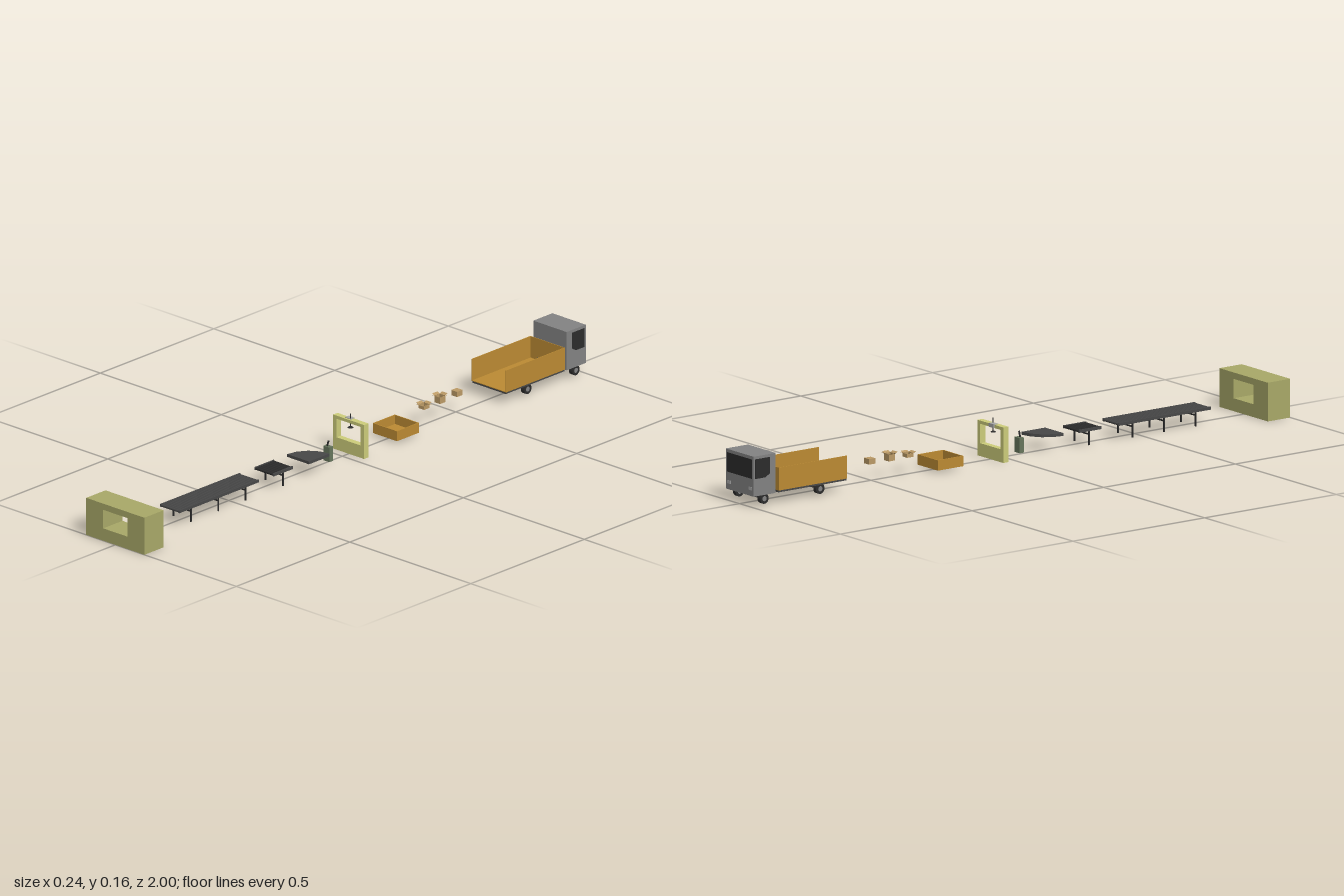
import * as THREE from 'three';

const mat = (color) => new THREE.MeshStandardMaterial({ color, side: THREE.DoubleSide });
const M = {
  olive: mat(0xa8a868), pale: mat(0xcccc7a), orange: mat(0xbb8a33), belt: mat(0x484848),
  dark: mat(0x2c2c2c), cab: mat(0x828282), green: mat(0x66755c), card: mat(0xbb9a66), steel: mat(0xaaaaaa),
};

export function createModel() {
  const root = new THREE.Group();

  const group = (name, parent = root) => {
    const g = new THREE.Group();
    g.name = name;
    parent.add(g);
    return g;
  };
  const add = (parent, name, geo, m, x = 0, y = 0, z = 0) => {
    const mesh = new THREE.Mesh(geo, m);
    mesh.name = name;
    mesh.position.set(x, y, z);
    parent.add(mesh);
    return mesh;
  };
  // box given by its limits on each axis
  const box = (parent, name, m, x0, x1, y0, y1, z0, z1) =>
    add(parent, name, new THREE.BoxGeometry(x1 - x0, y1 - y0, z1 - z0), m,
      (x0 + x1) / 2, (y0 + y1) / 2, (z0 + z1) / 2);
  // cylinder lying along x
  const roller = (parent, name, m, r, len, x, y, z, n = 12) => {
    const c = add(parent, name, new THREE.CylinderGeometry(r, r, len, n), m, x, y, z);
    c.rotation.z = Math.PI / 2;
    return c;
  };

  // upright block with a rectangular opening through z
  const portal = (parent, name, m, w, h, z0, z1) => {
    const s = new THREE.Shape();
    s.moveTo(-w, 0).lineTo(w, 0).lineTo(w, h).lineTo(-w, h).closePath();
    const hole = new THREE.Path();
    hole.moveTo(-0.05, 0.04).lineTo(-0.05, 0.1).lineTo(0.05, 0.1).lineTo(0.05, 0.04).closePath();
    s.holes.push(hole);
    const geo = new THREE.ExtrudeGeometry(s, { depth: z1 - z0, bevelEnabled: false });
    return add(parent, name, geo, m, 0, 0, z0);
  };

  // scanning tunnel
  portal(root, 'tunnel', M.olive, 0.12, 0.12, 0.915, 1);

  // roller conveyors on legs
  const conveyor = (name, z0, z1, pitch, legs, m) => {
    const g = group(name);
    for (const s of [-1, 1]) add(g, 'sideRail', new THREE.BoxGeometry(0.004, 0.009, z1 - z0), M.belt, s * 0.038, 0.0485, (z0 + z1) / 2);
    const n = Math.round((z1 - z0) / pitch);
    for (let i = 0; i < n; i++) {
      roller(g, 'roller', m, pitch * 0.46 > 0.0045 ? 0.0045 : pitch * 0.46, 0.073, 0, 0.048, z0 + (i + 0.5) * (z1 - z0) / n);
    }
    for (const z of legs) {
      for (const s of [-1, 1]) box(g, 'leg', M.dark, s * 0.036 - 0.002, s * 0.036 + 0.002, 0, 0.045, z - 0.002, z + 0.002);
      box(g, 'crossBar', M.dark, -0.036, 0.036, 0.032, 0.036, z - 0.002, z + 0.002);
    }
    return g;
  };
  const long = conveyor('longConveyor', 0.41, 0.76, 0.01, [0.705, 0.585, 0.465], M.belt);
  box(long, 'bed', M.belt, -0.037, 0.037, 0.045, 0.05, 0.412, 0.758);
  conveyor('shortConveyor', 0.26, 0.345, 0.0106, [0.3], M.dark);

  // quarter-turn conveyor pivoting on its inner corner
  const bend = new THREE.Shape();
  bend.moveTo(0, 0);
  for (let i = 0; i <= 4; i++) {
    const a = (i / 4) * Math.PI / 2;
    bend.lineTo(-0.09 * Math.cos(a), 0.09 * Math.sin(a));
  }
  bend.closePath();
  const bendMesh = add(root, 'curvedConveyor',
    new THREE.ExtrudeGeometry(bend, { depth: 0.009, bevelEnabled: false }), M.belt, 0.049, 0.044, 0.199);
  bendMesh.rotation.x = -Math.PI / 2;

  // control box with a tilted arm
  const control = group('controlBox');
  box(control, 'housing', M.green, -0.011, 0.014, 0.005, 0.052, 0.056, 0.072);
  const arm = add(control, 'arm', new THREE.BoxGeometry(0.004, 0.022, 0.004), M.dark, 0.002, 0.06, 0.066);
  arm.rotation.z = -0.3;

  // gate with a suction picker
  const gate = group('pickerGate');
  portal(gate, 'frame', M.pale, 0.064, 0.11, -0.047, -0.028);
  box(gate, 'carriage', M.steel, -0.02, 0.004, 0.1, 0.112, -0.05, -0.034);
  add(gate, 'rod', new THREE.CylinderGeometry(0.0015, 0.0015, 0.042, 8), M.dark, 0, 0.106, -0.036);
  add(gate, 'suctionCup', new THREE.CylinderGeometry(0.003, 0.009, 0.004, 16), M.dark, 0, 0.085, -0.036);

  // open-topped tray
  const openBox = (parent, name, m, w, y0, y1, z0, z1, t, open) => {
    const g = group(name, parent);
    box(g, 'floor', m, -w, w, y0, y0 + t, z0, z1);
    for (const s of [-1, 1]) add(g, 'sideWall', new THREE.BoxGeometry(t, y1 - y0, z1 - z0), m, s * (w - t / 2), (y0 + y1) / 2, (z0 + z1) / 2);
    box(g, 'endWall', m, -w, w, y0, y1, z0, z0 + t);
    if (!open) box(g, 'endWall', m, -w, w, y0, y1, z1 - t, z1);
    return g;
  };
  openBox(root, 'tray', M.orange, 0.05, 0.008, 0.04, -0.285, -0.188, 0.003, false);

  // cartons: two with spread flaps, one closed
  const carton = (name, z, y0, y1, tilt) => {
    const g = openBox(root, name, M.card, 0.012, 0, y1 - y0, -0.012, 0.012, 0.001, false);
    g.position.set(0, y0, z);
    for (let i = 0; i < 4; i++) {
      const hinge = group('flapHinge', g);
      hinge.position.y = y1 - y0;
      hinge.rotation.y = i * Math.PI / 2;
      const flap = add(hinge, 'flap', new THREE.BoxGeometry(0.023, 0.0008, 0.01), M.card,
        0, 0.005 * Math.sin(tilt), 0.012 + 0.005 * Math.cos(tilt));
      flap.rotation.x = -tilt;
    }
  };
  carton('lowCarton', -0.36, 0.053, 0.065, 0.35);
  carton('openCarton', -0.43, 0.052, 0.073, 0.5);
  box(root, 'closedCarton', M.card, -0.012, 0.012, 0.053, 0.07, -0.517, -0.493);

  // lorry
  const truck = group('truck');
  openBox(truck, 'loadBed', M.orange, 0.071, 0.04, 0.111, -0.905, -0.645, 0.002, true);
  box(truck, 'underBody', M.belt, -0.069, 0.069, 0.034, 0.04, -0.905, -0.647);
  box(truck, 'chassisLink', M.belt, -0.04, 0.04, 0.034, 0.05, -0.93, -0.9);
  box(truck, 'cab', M.cab, -0.069, 0.069, 0.034, 0.158, -0.999, -0.915);
  box(truck, 'windscreen', M.dark, -0.062, 0.062, 0.088, 0.148, -1, -0.998);

  // side windows, with the sill sloping down towards the nose
  const win = new THREE.Shape();
  win.moveTo(0.938, 0.098).lineTo(0.955, 0.088).lineTo(0.993, 0.088).lineTo(0.993, 0.149).lineTo(0.938, 0.149).closePath();
  for (const s of [-1, 1]) {
    const w = add(truck, 'sideWindow', new THREE.ExtrudeGeometry(win, { depth: 0.001, bevelEnabled: false }),
      M.dark, s > 0 ? 0.0697 : -0.0687, 0, 0);
    w.rotation.y = Math.PI / 2;
    w.position.x -= 0.001;
    box(truck, 'headlamp', M.steel, s * 0.053 - 0.009, s * 0.053 + 0.009, 0.052, 0.062, -1, -0.998);
    for (const z of [-0.745, -0.957]) {
      roller(truck, 'wheel', M.dark, 0.016, 0.014, s * 0.061, 0.022, z, 20);
      roller(truck, 'hub', M.cab, 0.008, 0.015, s * 0.061, 0.022, z, 16);
    }
  }
  for (const z of [-0.745, -0.957]) roller(truck, 'axle', M.dark, 0.003, 0.12, 0, 0.022, z);

  return root;
}
